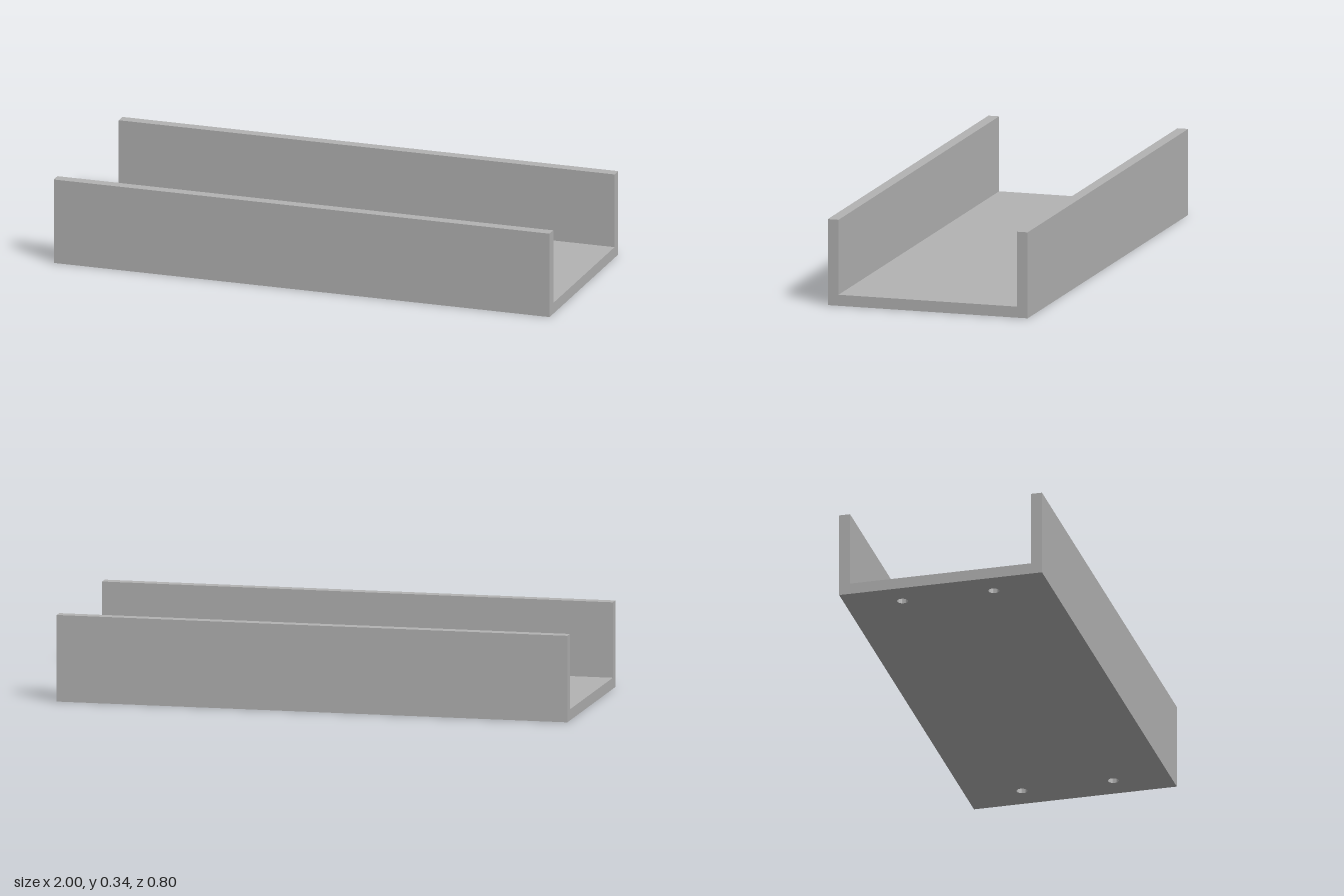
import * as THREE from 'three';
import { toCreasedNormals } from 'three/addons/utils/BufferGeometryUtils.js';

const LENGTH = 2, HALF_WIDTH = 0.4, HEIGHT = 0.335, WALL = 0.043;
const HOLE_X = 0.886, HOLE_Z = 0.18, HOLE_R = 0.021, HOLE_DEPTH = 0.035;

// U-section run along x, with its flat underside left out
function channelGeometry() {
  const w = HALF_WIDTH, i = HALF_WIDTH - WALL;
  const profile = new THREE.Shape([
    [-w, 0], [w, 0], [w, HEIGHT], [i, HEIGHT], [i, WALL], [-i, WALL], [-i, HEIGHT], [-w, HEIGHT],
  ].map(([x, y]) => new THREE.Vector2(x, y)));
  const full = new THREE.ExtrudeGeometry(profile, { depth: LENGTH, bevelEnabled: false });
  full.translate(0, 0, -LENGTH / 2).rotateY(Math.PI / 2);
  const flat = full.index ? full.toNonIndexed() : full;
  const p = flat.attributes.position;
  const kept = [];
  for (let t = 0; t < p.count; t += 3) {
    if (Math.max(p.getY(t), p.getY(t + 1), p.getY(t + 2)) < 1e-6) continue;
    for (let k = t; k < t + 3; k++) kept.push(p.getX(k), p.getY(k), p.getZ(k));
  }
  const g = new THREE.BufferGeometry();
  g.setAttribute('position', new THREE.Float32BufferAttribute(kept, 3));
  g.computeVertexNormals();
  return g;
}

export function createModel() {
  const model = new THREE.Group();
  model.name = 'channelTray';
  const grey = new THREE.MeshStandardMaterial({ color: 0xb2b2b2 });
  grey.name = 'grey';

  const add = (name, geometry) => {
    const mesh = new THREE.Mesh(geometry, grey);
    mesh.name = name;
    model.add(mesh);
    return mesh;
  };

  add('channel', channelGeometry());

  // Underside plate outline, pierced by four screw holes
  const l = LENGTH / 2, w = HALF_WIDTH;
  const base = new THREE.Shape([
    new THREE.Vector2(-l, -w), new THREE.Vector2(l, -w),
    new THREE.Vector2(l, w), new THREE.Vector2(-l, w),
  ]);

  // Blind hole: ceiling then wall, facing inward
  const pocket = toCreasedNormals(new THREE.LatheGeometry([
    new THREE.Vector2(0, HOLE_DEPTH),
    new THREE.Vector2(HOLE_R, HOLE_DEPTH),
    new THREE.Vector2(HOLE_R, 0),
  ], 32), 0.6);

  for (const sx of [-1, 1]) {
    for (const sz of [-1, 1]) {
      const hole = new THREE.Path();
      hole.absarc(sx * HOLE_X, sz * HOLE_Z, HOLE_R, 0, Math.PI * 2, true);
      base.holes.push(hole);
      add('screwHole', pocket).position.set(sx * HOLE_X, 0, sz * HOLE_Z);
    }
  }
  add('underside', new THREE.ShapeGeometry(base, 16).rotateX(Math.PI / 2));

  return model;
}
